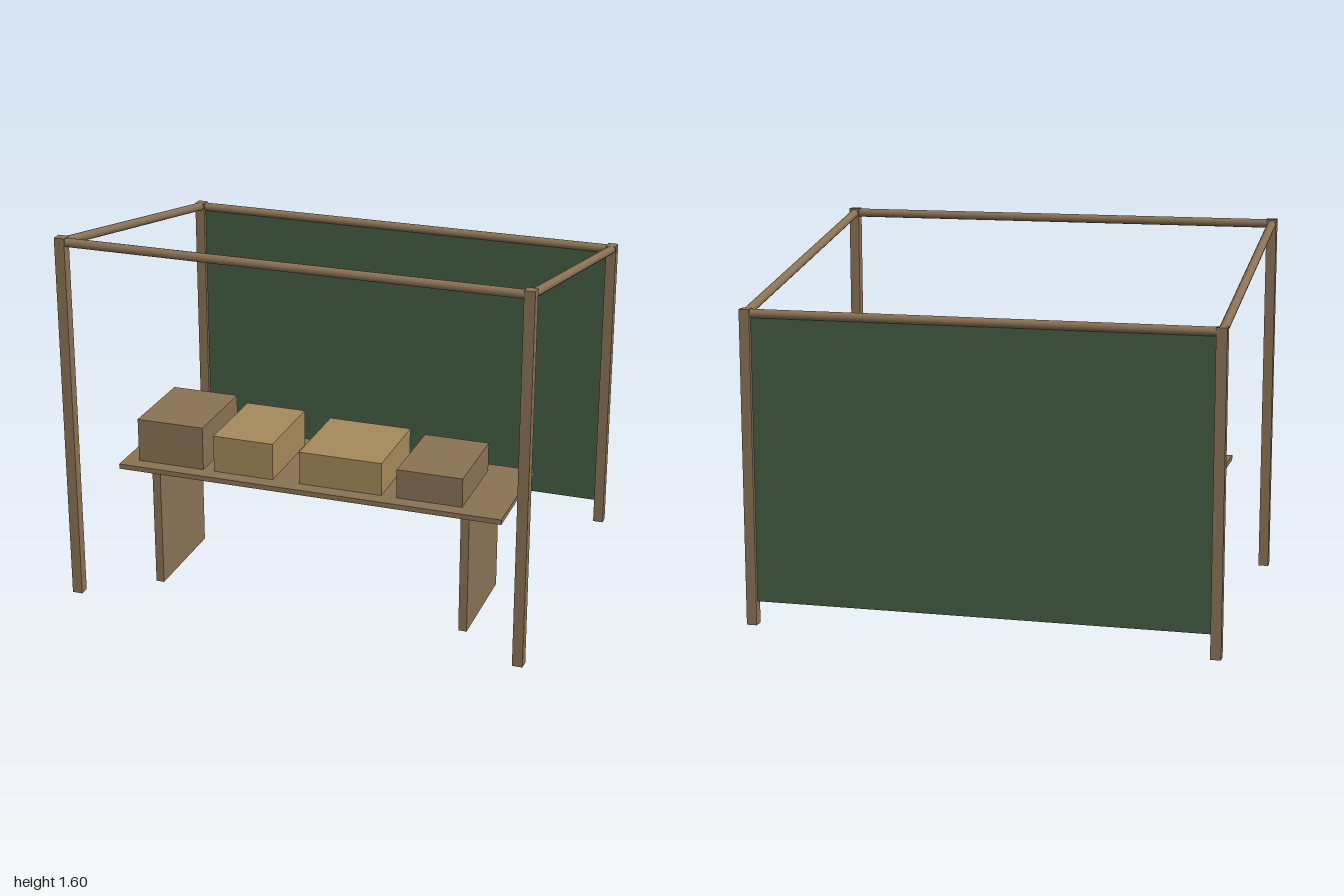
import * as THREE from 'three';

const wood = new THREE.MeshStandardMaterial({ name: 'wood', color: 0x8b7355 });
const paleWood = new THREE.MeshStandardMaterial({ name: 'pale wood', color: 0xa68a5b });
const canvas = new THREE.MeshStandardMaterial({ name: 'green canvas', color: 0x445d44 });

// Box given by its extents along each axis
function box(name, material, [x0, x1], [y0, y1], [z0, z1]) {
  const mesh = new THREE.Mesh(new THREE.BoxGeometry(x1 - x0, y1 - y0, z1 - z0), material);
  mesh.position.set((x0 + x1) / 2, (y0 + y1) / 2, (z0 + z1) / 2);
  mesh.name = name;
  return mesh;
}

// Round rail between two points
function rail(name, from, to) {
  const a = new THREE.Vector3(...from);
  const dir = new THREE.Vector3(...to).sub(a);
  const mesh = new THREE.Mesh(new THREE.CylinderGeometry(0.019, 0.019, dir.length(), 12), wood);
  mesh.position.copy(a).addScaledVector(dir, 0.5);
  mesh.quaternion.setFromUnitVectors(new THREE.Vector3(0, 1, 0), dir.normalize());
  mesh.name = name;
  return mesh;
}

export function createModel() {
  const model = new THREE.Group();
  model.name = 'marketStall';

  const px = 0.978, pz = 0.717, half = 0.022;
  const frontTop = 1.6, backTop = 1.335;
  const frontRailY = 1.579, backRailY = 1.316;

  // Frame: four posts and sloping side rails
  for (const s of [-1, 1]) {
    const side = s > 0 ? 'left' : 'right';
    const xs = [s * px - half, s * px + half];
    model.add(box(side + 'FrontPost', wood, xs, [0, frontTop], [pz - half, pz + half]));
    model.add(box(side + 'BackPost', wood, xs, [0, backTop], [-pz - half, -pz + half]));
    model.add(rail(side + 'RoofRail', [s * px, frontRailY, pz], [s * px, backRailY, -pz]));
  }
  model.add(rail('frontRail', [-px, frontRailY, pz], [px, frontRailY, pz]));
  model.add(rail('backRail', [-px, backRailY, -pz], [px, backRailY, -pz]));

  // Canvas sheet across the back
  model.add(box('backCanvas', canvas, [-0.957, 0.957], [0.1, 1.31], [-pz - 0.005, -pz + 0.005]));

  // Table with two panel legs
  const table = new THREE.Group();
  table.name = 'table';
  table.add(box('tableTop', wood, [-0.845, 0.845], [0.525, 0.547], [0.03, 0.55]));
  for (const s of [-1, 1]) {
    table.add(box('tableLeg', wood, [s * 0.685 - 0.018, s * 0.685 + 0.018], [0, 0.525], [0.067, 0.523]));
  }
  model.add(table);

  // Goods on the table: left edge, right edge, top, material
  const goods = [
    [-0.78, -0.482, 0.738, wood],
    [-0.433, -0.166, 0.709, paleWood],
    [-0.048, 0.314, 0.691, paleWood],
    [0.38, 0.662, 0.674, wood],
  ];
  for (const [x0, x1, top, material] of goods) {
    model.add(box('crate', material, [x0, x1], [0.547, top], [0.097, 0.487]));
  }
  return model;
}
